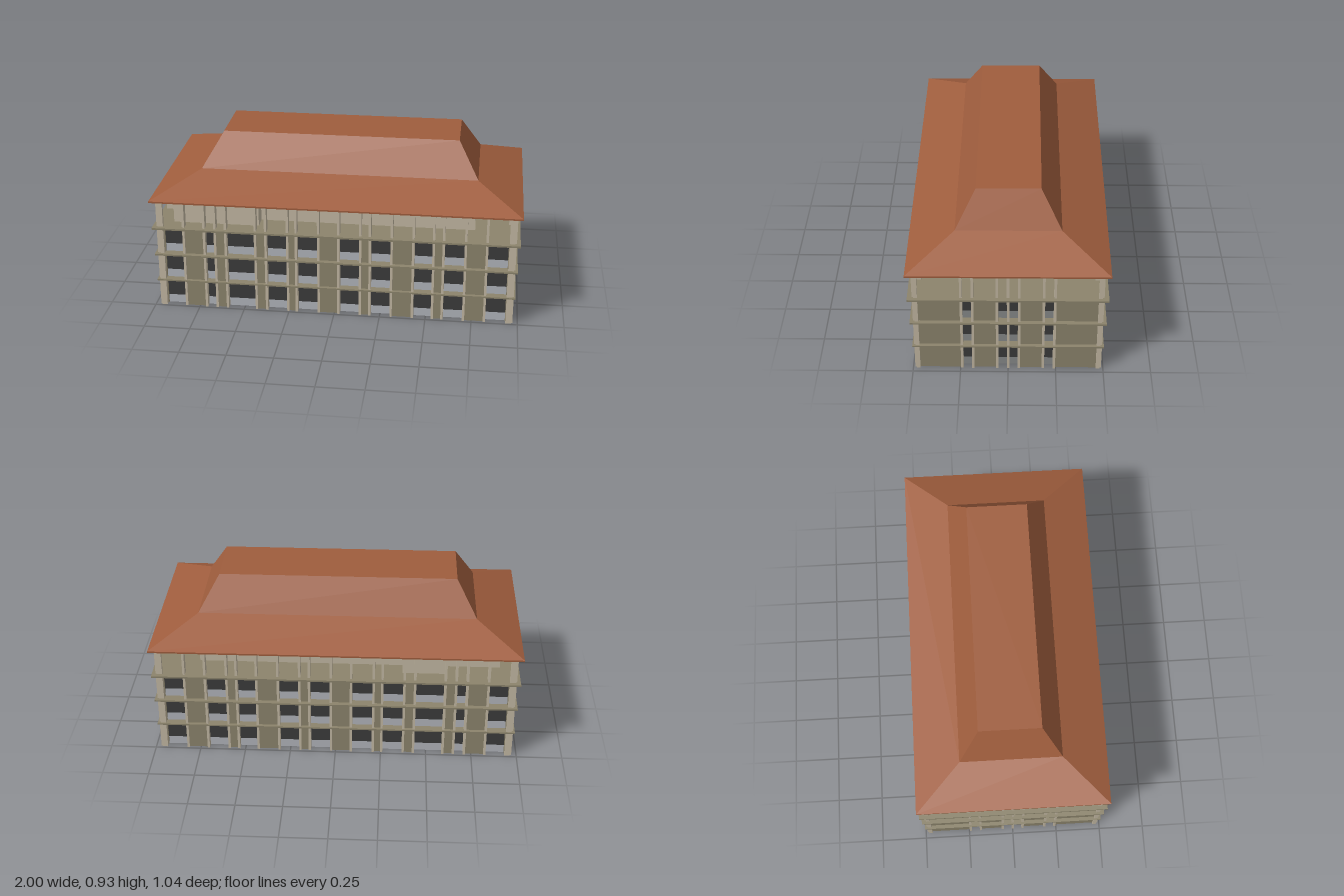
import * as THREE from 'three';

const mat = (name, color) => {
  const m = new THREE.MeshStandardMaterial({ color });
  m.name = name;
  return m;
};

export function createModel() {
  const group = new THREE.Group();
  const roofTile = mat('roof tile', 0x9f5d3d);
  const olive = mat('olive wall', 0x8c846c);
  const beige = mat('beige plaster', 0xc2b7a2);
  const dark = mat('dark glass', 0x3b3b3b);
  const lightGrey = mat('light grey panel', 0xb1b4ba);
  const midGrey = mat('mid grey panel', 0x868989);

  // Box given by its limits on each axis
  function box(name, m, x0, x1, y0, y1, z0, z1, parent = group) {
    const mesh = new THREE.Mesh(new THREE.BoxGeometry(x1 - x0, y1 - y0, z1 - z0), m);
    mesh.position.set((x0 + x1) / 2, (y0 + y1) / 2, (z0 + z1) / 2);
    mesh.name = name;
    parent.add(mesh);
  }

  const EAVE = 0.626, TERRACE = 0.47, COL = 0.013;
  const floors = [0, 0.158, 0.316], ceilings = [0.151, 0.309, 0.466];

  // Floor slabs, each a little wider than the one below; the ground storey is open underneath
  [[0.982, 0.499, 0.151, 0.159], [0.986, 0.507, 0.308, 0.317], [0.993, 0.514, 0.465, 0.475]]
    .forEach(([x, z, y0, y1]) => box('floorSlab', olive, -x, x, y0, y1, -z, z));

  // Stairwell walls standing inside the back bay
  box('stairwellSide', beige, -0.60, -0.59, 0, TERRACE, -0.445, -0.28);
  box('stairwellSide', beige, -0.43, -0.42, 0, TERRACE, -0.445, -0.28);
  box('stairwellEnd', beige, -0.59, -0.43, 0, TERRACE, -0.29, -0.28);

  // One facade, built along its local x and facing local +z
  function facade(name, windows, half, face, panel) {
    const f = new THREE.Group();
    f.name = name;
    const back = face - 0.04;
    const pier = (x0, x1) => {
      if (x1 - x0 > 0.03) box('wallPier', olive, x0, x1, 0, TERRACE, back, face - 0.01, f);
    };
    let edge = -half;
    const columns = new Set();
    for (const [a, b] of windows) {
      floors.forEach((y, i) => {
        box('windowPanel', panel, a, b, y, y + 0.047, back, back + 0.006, f);
        box('windowGlass', dark, a, b, y + 0.047, ceilings[i], back, back + 0.006, f);
      });
      pier(edge, a - 0.002);
      columns.add((a - COL / 2).toFixed(3)).add((b + COL / 2).toFixed(3));
      edge = b + 0.002;
    }
    pier(edge, half);
    // Columns run from the ground to the eaves
    for (const c of columns) {
      const x = +c;
      if (Math.abs(x) < half - 0.01) box('column', beige, x - COL / 2, x + COL / 2, 0, EAVE, back, face, f);
    }
    group.add(f);
    return f;
  }

  const longBays = [[-0.935, -0.83], [-0.705, -0.657], [-0.587, -0.437], [-0.367, -0.26], [-0.20, -0.092],
    [0.03, 0.135], [0.20, 0.305], [0.434, 0.53], [0.595, 0.70], [0.825, 0.935]];
  const sideBays = [[-0.235, -0.19], [-0.05, -COL / 2], [COL / 2, 0.05], [0.19, 0.235]];
  facade('frontFacade', longBays, 0.935, 0.49, lightGrey);
  // The back has the same bays, listed in reverse because it is turned round
  const turned = longBays.map(([a, b]) => [-b, -a]).reverse();
  facade('backFacade', turned, 0.935, 0.49, lightGrey).rotation.y = Math.PI;
  facade('leftFacade', sideBays, 0.465, 0.972, midGrey).rotation.y = Math.PI / 2;
  facade('rightFacade', sideBays, 0.465, 0.972, midGrey).rotation.y = -Math.PI / 2;

  // Corner posts: a pair of columns on each corner
  for (const sx of [-1, 1]) for (const sz of [-1, 1]) {
    const post = (x0, x1, z0, z1) => box('cornerPost', beige,
      Math.min(sx * x0, sx * x1), Math.max(sx * x0, sx * x1), 0, EAVE,
      Math.min(sz * z0, sz * z1), Math.max(sz * z0, sz * z1));
    post(0.935, 0.965, 0.472, 0.49);
    post(0.955, 0.973, 0.462, 0.482);
  }

  // Set-back top storey with its projecting rooms
  box('topStorey', beige, -0.89, 0.75, TERRACE, EAVE, -0.335, 0.335);
  box('topStoreyFrontRoom', beige, -0.89, -0.42, TERRACE, EAVE, 0.33, 0.415);
  box('topStoreyStair', beige, -0.60, -0.36, TERRACE, EAVE, -0.415, -0.33);
  box('topStoreyTrim', olive, -0.893, 0.753, 0.612, 0.619, -0.338, 0.338);

  // Two-pitch hipped roof from stacked rectangles [half x, y, half z]
  const rings = [[1, 0.625, 0.52], [1, 0.634, 0.52], [0.755, 0.74, 0.275], [0.645, 0.925, 0.168]];
  const corners = rings.map(([x, y, z]) => [[-x, y, z], [x, y, z], [x, y, -z], [-x, y, -z]]);
  const pos = [];
  const quad = (a, b, c, d) => pos.push(...a, ...b, ...c, ...a, ...c, ...d);
  for (let r = 0; r < 3; r++) for (let i = 0; i < 4; i++) {
    const j = (i + 1) % 4;
    quad(corners[r][i], corners[r][j], corners[r + 1][j], corners[r + 1][i]);
  }
  quad(...corners[3]);
  quad(...corners[0].slice().reverse());
  const roofGeo = new THREE.BufferGeometry();
  roofGeo.setAttribute('position', new THREE.Float32BufferAttribute(pos, 3));
  roofGeo.computeVertexNormals();
  const roof = new THREE.Mesh(roofGeo, roofTile);
  roof.name = 'roof';
  group.add(roof);

  return group;
}
